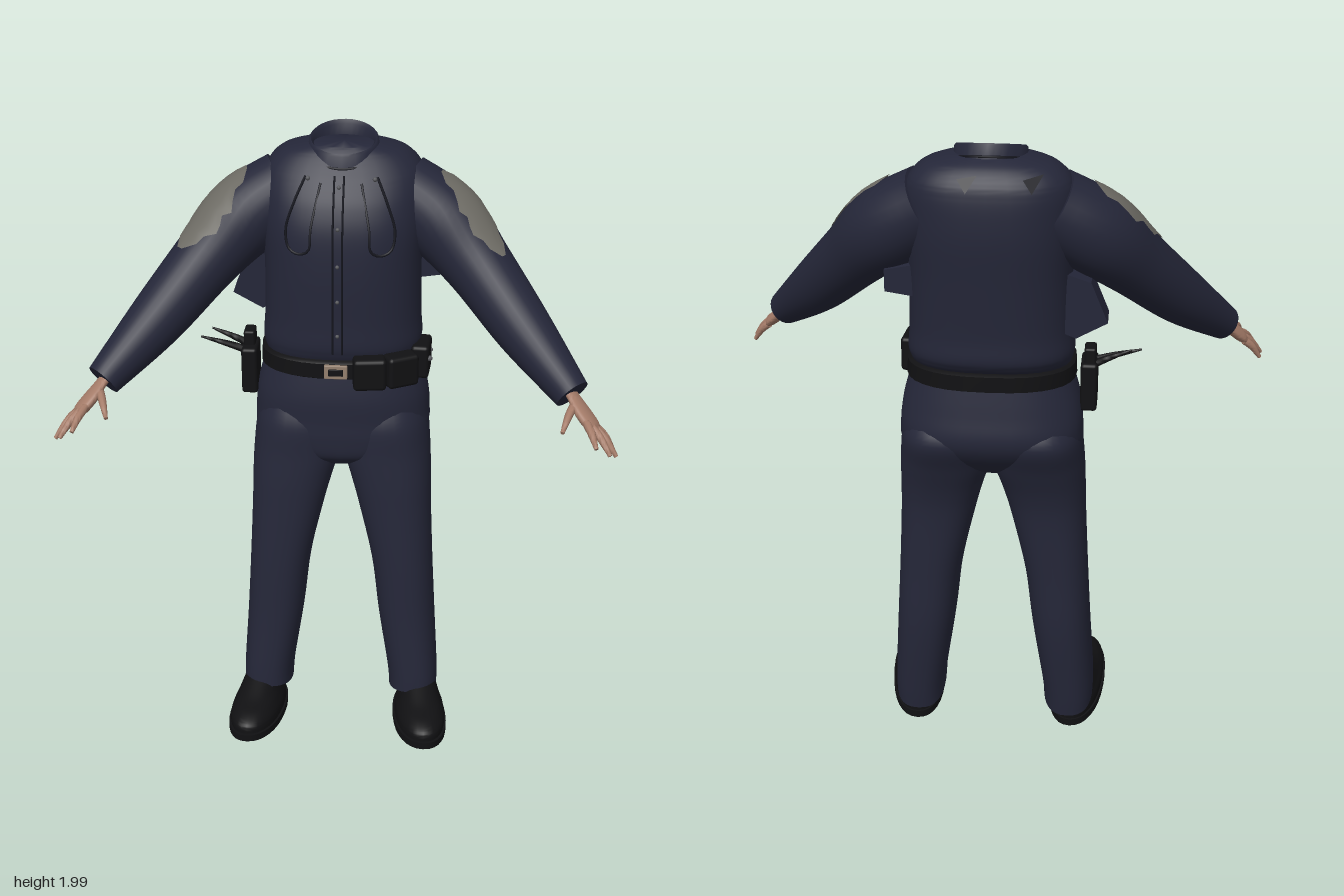
import * as THREE from 'three';
import { toCreasedNormals } from 'three/addons/utils/BufferGeometryUtils.js';
import { RoundedBoxGeometry } from 'three/addons/geometries/RoundedBoxGeometry.js';

const V3 = (x, y, z) => new THREE.Vector3(x, y, z);
const paint = (name, color, side = THREE.FrontSide) => {
  const m = new THREE.MeshStandardMaterial({ color, side });
  m.name = name;
  return m;
};

// Catmull-Rom resampling of rows of numbers
function smooth(rows, k = 6) {
  const out = [], at = i => rows[Math.max(0, Math.min(rows.length - 1, i))];
  for (let i = 0; i < rows.length - 1; i++) for (let s = 0; s < k; s++) {
    const t = s / k, [a, b, c, d] = [at(i - 1), at(i), at(i + 1), at(i + 2)];
    out.push(b.map((v, q) => 0.5 * (2 * v + (c[q] - a[q]) * t + (2 * a[q] - 5 * v + 4 * c[q] - d[q]) * t * t
      + (3 * v - a[q] - 3 * c[q] + d[q]) * t ** 3)));
  }
  out.push(at(rows.length));
  return out;
}

// Skin over rings of points, closed around and capped, or an open sheet
function loft(rings, closed = true) {
  const n = rings[0].length, pos = rings.flat().flatMap(p => [p.x, p.y, p.z]), idx = [];
  for (let i = 0; i < rings.length - 1; i++) for (let j = 0; j < (closed ? n : n - 1); j++) {
    const a = i * n + j, b = i * n + (j + 1) % n;
    idx.push(a, a + n, b, b, a + n, b + n);
  }
  if (closed) [0, rings.length - 1].forEach((r, top) => {
    const c = rings[r].reduce((s, p) => s.add(p), V3(0, 0, 0)).divideScalar(n), m = pos.length / 3;
    pos.push(c.x, c.y, c.z);
    for (let j = 0; j < n; j++) {
      const a = r * n + j, b = r * n + (j + 1) % n;
      if (top) idx.push(m, b, a); else idx.push(m, a, b);
    }
  });
  const g = new THREE.BufferGeometry();
  g.setAttribute('position', new THREE.Float32BufferAttribute(pos, 3));
  g.setIndex(idx);
  return toCreasedNormals(g, 0.9);
}

// Level section: [y, x0, x1, zFront, zBack, tilt]
const bend = (v, e) => Math.sign(v) * Math.abs(v) ** e;
function section([y, x0, x1, zf, zb, tilt = 0], e = 0.8, n = 32) {
  return Array.from({ length: n }, (_, j) => {
    const t = j / n * Math.PI * 2;
    const z = (zf + zb) / 2 + (zf - zb) / 2 * bend(Math.sin(t), e);
    return V3((x0 + x1) / 2 + (x1 - x0) / 2 * bend(Math.cos(t), e), y + tilt * z, z);
  });
}
const body = (rows, e) => loft(smooth(rows).map(r => section(r, e)));
const even = rows => rows.map(([y, rx, zf, zb]) => [y, -rx, rx, zf, zb]);

// Frames along a limb given as [x, y, z, radius]
function frames(rows, ref = V3(0, 1, 0)) {
  const d = smooth(rows), p = d.map(r => V3(r[0], r[1], r[2]));
  return p.map((c, i) => {
    const T = p[Math.min(i + 1, p.length - 1)].clone().sub(p[Math.max(i - 1, 0)]).normalize();
    const U = ref.clone().addScaledVector(T, -ref.dot(T)).normalize();
    return { c, U, W: U.clone().cross(T), r: d[i][3] };
  });
}
const around = (f, a, flat = 1, lift = 0) => f.c.clone()
  .addScaledVector(f.U, (f.r + lift) * Math.cos(a)).addScaledVector(f.W, (f.r + lift) * flat * Math.sin(a));
const limb = (rows, flat = 1, ref, n = 20) => loft(frames(rows, ref).map(f =>
  Array.from({ length: n }, (_, j) => around(f, j / n * Math.PI * 2, flat))));

const TORSO = even([[1.325, 0.235, 0.015, -0.30], [1.37, 0.245, 0.03, -0.335], [1.45, 0.24, 0.03, -0.337],
  [1.6, 0.238, 0.03, -0.347], [1.72, 0.245, 0.02, -0.356], [1.8, 0.245, -0.005, -0.355], [1.86, 0.24, -0.04, -0.348],
  [1.9, 0.222, -0.07, -0.335], [1.935, 0.18, -0.1, -0.305], [1.955, 0.11, -0.12, -0.27]]);
const ARM = [[0.17, 1.805, -0.2, 0.115], [0.30, 1.72, -0.165, 0.122], [0.41, 1.61, -0.09, 0.102],
  [0.55, 1.46, 0.04, 0.085], [0.69, 1.325, 0.18, 0.054]];

// Point on the shirt at a given x and y
function onShirt(x, y, front = true, lift = 0.002) {
  const rows = smooth(TORSO), i = Math.max(1, rows.findIndex(r => r[0] >= y));
  const t = (y - rows[i - 1][0]) / (rows[i][0] - rows[i - 1][0]);
  const [, , rx, zf, zb] = rows[i].map((v, q) => THREE.MathUtils.lerp(rows[i - 1][q], v, t));
  const c = Math.min(1, Math.abs(x) / rx) ** 1.25, s = Math.sqrt(1 - c * c) ** 0.8 * (front ? 1 : -1);
  return V3(x, y, (zf + zb) / 2 + (zf - zb) / 2 * s + (front ? lift : -lift));
}

export function createModel() {
  const model = new THREE.Group();
  const navy = paint('navy shirt', 0x242638), trouser = paint('navy trousers', 0x252739);
  const black = paint('black leather', 0x111113), seam = paint('dark seam', 0x14151d, THREE.DoubleSide);
  const skin = paint('skin', 0xa57c69), grey = paint('grey patch', 0x6c6a63, THREE.DoubleSide);
  const metal = paint('buckle metal', 0x94806e), stud = paint('grey stud', 0x55565a);
  const add = (name, geo, mat, parent = model) => {
    const m = new THREE.Mesh(geo, mat);
    m.name = name;
    parent.add(m);
    return m;
  };
  const box = (name, mat, [x, y, z], [w, h, d], turn = 0, parent = model) => {
    const m = add(name, new RoundedBoxGeometry(w, h, d, 2, Math.min(w, h, d) * 0.2), mat, parent);
    m.position.set(x, y, z);
    m.rotation.y = turn;
    return m;
  };
  const dot = (name, mat, p, r) => add(name, new THREE.SphereGeometry(r, 10, 8), mat).position.copy(p);
  const cord = (name, pts, r = 0.004) =>
    add(name, new THREE.TubeGeometry(new THREE.CatmullRomCurve3(pts), 40, r, 6), seam);

  // Shirt, collar and hips
  add('shirt', body(TORSO), navy);
  add('collar', loft([[1.84, 0.112, -0.068, -0.275], [1.915, 0.103, -0.078, -0.265], [1.92, 0.098, -0.083, -0.262],
    [1.91, 0.09, -0.09, -0.255], [1.875, 0.088, -0.092, -0.25]]
    .map(([y, r, f, b]) => section([y, -r, r, f, b, -0.3], 1))), navy);
  cord('collarSeam', section([1.882, -0.108, 0.108, -0.073, -0.27, -0.3], 1, 24));
  add('hips', body(even([[0.96, 0.08, -0.02, -0.2], [1.0, 0.2, 0.02, -0.26], [1.06, 0.268, 0.03, -0.315],
    [1.12, 0.274, 0.03, -0.338], [1.2, 0.266, 0.03, -0.325], [1.3, 0.238, 0.015, -0.305]])), trouser);

  // Limbs, mirrored
  for (const side of [1, -1]) {
    const half = new THREE.Group();
    half.name = side > 0 ? 'leftLimbs' : 'rightLimbs';
    half.scale.x = side;
    model.add(half);
    add('trouserLeg', body([[0.125, 0.165, 0.325, 0.062, -0.185, 0.3], [0.2, 0.158, 0.324, 0.06, -0.198, 0.2],
      [0.4, 0.125, 0.31, 0.05, -0.225, 0], [0.6, 0.1, 0.298, 0.045, -0.23, 0], [0.8, 0.055, 0.288, 0.038, -0.238, 0],
      [0.9, 0.028, 0.285, 0.035, -0.255, 0], [1.0, 0, 0.28, 0.03, -0.29, 0], [1.1, 0, 0.268, 0.026, -0.328, 0],
      [1.17, 0.03, 0.24, 0, -0.29, 0]]), trouser, half);
    const lean = new THREE.Matrix4().makeShear(0, 0, 0, 0, 0.09, 0.14);
    add('shoe', body([[0.045, 0.184, 0.348, 0.245, -0.145], [0.075, 0.187, 0.348, 0.24, -0.145],
      [0.1, 0.197, 0.338, 0.2, -0.143], [0.122, 0.205, 0.33, 0.13, -0.14], [0.165, 0.215, 0.315, 0.03, -0.135]], 0.9)
      .applyMatrix4(lean), black, half);
    add('shoeSole', loft([0.026, 0.05].map(y => section([y, 0.178, 0.354, 0.256, -0.15], 0.9)))
      .applyMatrix4(lean), black, half);
    add('sleeve', limb(ARM, 1, undefined, 28), navy, half);

    // Shoulder patch lying on the sleeve
    const wide = side > 0 ? 0.5 : 0.72;
    add('sleevePatch', loft(frames(ARM).slice(3, 14).map((f, i) => {
      const w = wide * Math.sqrt(1.02 - ((i - 5) / 5) ** 2) * (1 + 0.15 * Math.sin(i * 2.1));
      return Array.from({ length: 9 }, (_, j) => around(f, w * (j / 4 - 1), 1, 0.004));
    }), false), grey, half);

    // Hand with spread fingers
    add('palm', limb([[0.67, 1.345, 0.16, 0.034], [0.695, 1.318, 0.188, 0.034], [0.72, 1.288, 0.22, 0.043],
      [0.745, 1.262, 0.245, 0.042], [0.757, 1.25, 0.256, 0.03]], 0.42, V3(-0.04, 0.03, 0.05)), skin, half);
    [[[0.728, 1.277, 0.268], [0.755, 1.235, 0.35]], [[0.742, 1.265, 0.258], [0.798, 1.203, 0.328]],
      [[0.754, 1.255, 0.246], [0.82, 1.183, 0.292]], [[0.762, 1.245, 0.23], [0.815, 1.182, 0.25]],
      [[0.695, 1.308, 0.215], [0.658, 1.268, 0.32]]].forEach(([a, b], i) => {
      const mid = a.map((v, q) => (v + b[q]) / 2 + (q === 1 ? 0.008 : 0));
      add(i < 4 ? 'finger' : 'thumb',
        limb([[...a, 0.0125], [...mid, 0.0115], [...b, 0.006]], 1, undefined, 10), skin, half);
    });

    // Flap seams on the chest
    cord('chestFlapSeam', [[0.105, 1.885], [0.135, 1.82], [0.16, 1.74], [0.15, 1.685], [0.12, 1.672], [0.092, 1.685],
      [0.085, 1.75], [0.06, 1.87]].map(([x, y]) => onShirt(x * side, y)));
    dot('flapButton', stud, onShirt(0.098 * side, 1.88), 0.007);
    cord('placketSeam', Array.from({ length: 12 }, (_, i) => onShirt(0.014 * side - 0.006, 1.36 + i * 0.048)), 0.003);
  }
  for (let i = 0; i < 5; i++) dot('shirtButton', stud, onShirt(-0.006, 1.42 + i * 0.11), 0.006);

  // Dark tabs behind the collar
  for (const x of [-0.13, 0.05]) {
    const pts = [[x - 0.025, 1.925], [x + 0.03, 1.915], [x + 0.005, 1.88]].map(([a, y]) => onShirt(a, y, false, 0.008));
    add('backTab', new THREE.BufferGeometry().setFromPoints(pts), seam).geometry.computeVertexNormals();
  }

  // Loose cloth folds under the arms
  for (const outline of [[[-0.2, 1.63], [-0.29, 1.6], [-0.34, 1.48], [-0.25, 1.43], [-0.2, 1.45]],
    [[0.2, 1.64], [0.3, 1.62], [0.3, 1.555], [0.2, 1.54]]]) {
    const shape = new THREE.Shape(outline.map(([x, y]) => new THREE.Vector2(x, y)));
    add('underarmFold', new THREE.ExtrudeGeometry(shape, { depth: 0.1, bevelEnabled: false }), navy).position.z = -0.25;
  }

  // Belt, buckle and pouches
  add('belt', loft([[1.278, 0.24, 0.03, -0.312], [1.283, 0.252, 0.038, -0.325], [1.33, 0.25, 0.038, -0.325],
    [1.336, 0.238, 0.03, -0.312]].map(([y, r, f, b]) => section([y, -r, r, f, b]))), black);
  box('buckle', metal, [-0.01, 1.307, 0.04], [0.07, 0.044, 0.014]);
  box('buckleInset', black, [-0.01, 1.307, 0.046], [0.044, 0.022, 0.008]);
  box('frontPouch', black, [0.092, 1.308, 0.04], [0.1, 0.1, 0.06], 0.12);
  box('cornerPouch', black, [0.185, 1.31, 0.012], [0.1, 0.1, 0.06], 0.5);
  box('sidePouch', black, [0.245, 1.312, -0.085], [0.11, 0.105, 0.055], 1.5);
  for (const z of [-0.04, -0.105]) dot('pouchStud', stud, V3(0.271, 1.325, z), 0.009);

  // Holster with two slim rods pointing outward
  box('holster', black, [-0.288, 1.245, -0.13], [0.05, 0.15, 0.11]);
  box('holsterGrip', black, [-0.29, 1.335, -0.14], [0.035, 0.06, 0.06]);
  for (const [x, y, z] of [[-0.44, 1.345, -0.11], [-0.41, 1.358, -0.15]])
    add('rod', limb([[-0.27, 1.295, z, 0.014], [(x - 0.27) / 2, (y + 1.3) / 2, z, 0.01], [x, y, z, 0.003]], 1, undefined, 10), black);
  return model;
}
